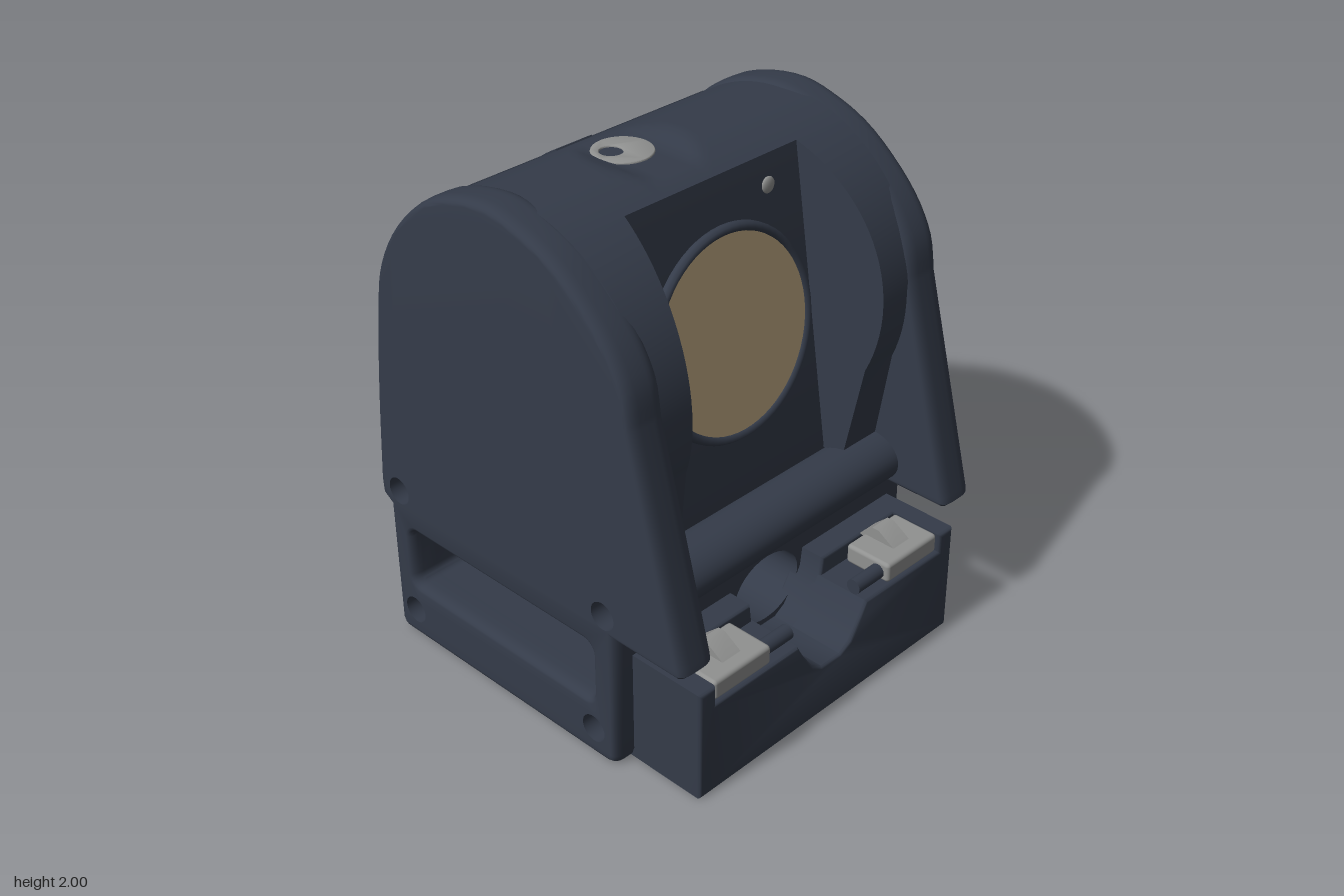
import * as THREE from 'three';
import { toCreasedNormals } from 'three/addons/utils/BufferGeometryUtils.js';
import { RoundedBoxGeometry } from 'three/addons/geometries/RoundedBoxGeometry.js';

const material = (name, color) => {
  const m = new THREE.MeshStandardMaterial({ color });
  m.name = name;
  return m;
};
const SIDES = [-1, 1];
const BORE = 0.055;
const DRUM = { z: -0.08, y: 1.36, r: 0.63 };
const faceZ = (y) => 0.36 - 0.155 * (y - 0.76); // sloping front face

// Points are [z, y] for side profiles and [x, y] for front profiles; outlines run counter-clockwise.
function shapeOf(pts, flip) {
  const v = pts.map(([a, b]) => new THREE.Vector2(flip ? -a : a, b));
  return new THREE.Shape(THREE.ShapeUtils.isClockWise(v) ? v.reverse() : v);
}
const side = (pts) => shapeOf(pts, true);
const front = (pts) => shapeOf(pts, false);

function ellipseHole(shape, x, y, rx, ry = rx) {
  const pts = Array.from({ length: 32 }, (_, i) => {
    const t = -i / 32 * Math.PI * 2;
    return new THREE.Vector2(x + rx * Math.cos(t), y + ry * Math.sin(t));
  });
  shape.holes.push(new THREE.Path(pts));
}

// Rounded rectangular pocket in the base sides
function pocketHole(shape, inset) {
  const [x0, x1, y0, y1] = [-0.36 + inset, 0.64 - inset, 0.23 + inset, 0.5 - inset];
  const r = 0.05 - inset;
  const pts = [];
  for (const [cx, cy, t0] of [[x1 - r, y1 - r, 0], [x0 + r, y1 - r, 1], [x0 + r, y0 + r, 2], [x1 - r, y0 + r, 3]]) {
    for (let i = 0; i <= 5; i++) {
      const t = (t0 + i / 5) * Math.PI / 2;
      pts.push(new THREE.Vector2(cx + r * Math.cos(t), cy + r * Math.sin(t)));
    }
  }
  shape.holes.push(new THREE.Path(pts.reverse()));
}

function extrude(shape, length, bevel, steps = 1, round = bevel) {
  return new THREE.ExtrudeGeometry(shape, {
    depth: length - 2 * round, steps, curveSegments: 16,
    bevelEnabled: bevel > 0, bevelSize: bevel, bevelThickness: round, bevelOffset: -bevel, bevelSegments: 5,
  }).translate(0, 0, round);
}
const extrudeX = (shape, x0, x1, bevel = 0, steps = 1, round = bevel) =>
  extrude(shape, x1 - x0, bevel, steps, round).rotateY(Math.PI / 2).translate(x0, 0, 0);
const extrudeZ = (shape, z0, z1, bevel = 0) => extrude(shape, z1 - z0, bevel).translate(0, 0, z0);

function moveVertices(geo, rule) {
  const p = geo.attributes.position;
  const v = new THREE.Vector3();
  for (let i = 0; i < p.count; i++) {
    rule(v.fromBufferAttribute(p, i));
    p.setXYZ(i, v.x, v.y, v.z);
  }
  return geo;
}

// Points along the drum circle
function arc(t0, t1, r = DRUM.r, n = 24) {
  return Array.from({ length: n + 1 }, (_, i) => {
    const t = t0 + (t1 - t0) * i / n;
    return [DRUM.z + r * Math.cos(t), DRUM.y + r * Math.sin(t)];
  });
}

export function createModel() {
  const dark = material('dark slate', 0x343b49);
  const tan = material('tan', 0xb09c78);
  const grey = material('grey metal', 0x909190);
  const model = new THREE.Group();
  const body = new THREE.Group();
  body.name = 'body';
  body.position.x = -0.085; // the housing is symmetric about its own middle
  model.add(body);
  const add = (name, geo, mat, parent = body) => {
    const mesh = new THREE.Mesh(geo, mat);
    mesh.name = name;
    parent.add(mesh);
    return mesh;
  };
  const crease = (geo) => toCreasedNormals(geo, 0.55);

  // Side plates: arched top, foot, four bolt bores and a long pocket
  const bores = [[0.41, 0.645], [-0.67, 0.645], [0.35, 0.12], [-0.63, 0.12]];
  const crown = new THREE.SplineCurve([
    [0.56, 1.43], [0.53, 1.58], [0.43, 1.735], [0.25, 1.89], [0.07, 1.97], [-0.12, 2], [-0.36, 1.94],
    [-0.55, 1.79], [-0.67, 1.6], [-0.715, 1.4], [-0.755, 1.05], [-0.785, 0.66],
  ].map(([z, y]) => new THREE.Vector2(z, y))).getPoints(48).map((p) => [p.x, p.y]);
  const bevel = 0.026;
  for (const s of SIDES) {
    const shape = side([
      [0.765, 0.56], [0.78, 0.575], [0.775, 0.605], ...crown, [-0.78, 0.59], [-0.735, 0.56],
      [-0.73, 0.04], [-0.715, 0.01], [-0.69, 0], [0.42, 0], [0.45, 0.01], [0.46, 0.04], [0.46, 0.56],
    ]);
    for (const [z, y] of bores) ellipseHole(shape, -z, y, BORE - bevel);
    pocketHole(shape, bevel / 2);
    const ends = s < 0 ? [-0.775, -0.615] : [0.615, 0.775];
    const geo = extrudeX(shape, ...ends, bevel, 1, 0.05);
    // keep the bores straight
    moveVertices(geo, (v) => {
      for (const [z, y] of bores) {
        const d = Math.hypot(v.z - z, v.y - y);
        if (d < 0.06) {
          v.z = z + (v.z - z) * BORE / d;
          v.y = y + (v.y - y) * BORE / d;
          break;
        }
      }
    });
    add('sidePlate', crease(geo), dark);
  }

  // Drum core with the sloping face and a shallow dip across the top
  const coreShape = side([[0.33, 0.56], [0.36, 0.76], ...arc(1.143, Math.PI, DRUM.r, 32), [-0.735, 0.9], [-0.74, 0.56]]);
  ellipseHole(coreShape, 0.67, 0.645, BORE);
  const core = moveVertices(extrudeX(coreShape, -0.66, 0.66, 0, 40), (v) => {
    const rise = THREE.MathUtils.clamp((Math.abs(v.x + 0.095) - 0.1) / 0.12, 0, 1);
    v.y = Math.min(v.y, 1.958 + 0.04 * rise);
  });
  add('drum', crease(core), dark);

  // Flared shoulders on both sides of the face
  for (const s of SIDES) {
    const shape = side([[0.34, 0.75], [0.44, 0.75], ...arc(-0.4, 1.143), [0.17, 1.92]]);
    const geo = s < 0 ? extrudeX(shape, -0.66, -0.415) : extrudeX(shape, 0.415, 0.66);
    moveVertices(geo, (v) => {
      if (Math.abs(v.x) < 0.42) v.x += s * 0.24 * (v.z - faceZ(v.y));
    });
    add('shoulder', crease(geo), dark);
  }

  // Raised rear panel with its tab
  const panel = (t0, t1, x0, x1) =>
    crease(extrudeX(side([...arc(t0, t1, DRUM.r + 0.006), ...arc(t1, t0, DRUM.r - 0.01)]), x0, x1));
  add('rearPanel', panel(2.218, 3.08, -0.625, 0.625), dark);
  add('rearPanelTab', panel(2.067, 2.23, -0.195, -0.025), dark);

  // Round screen on the sloping face
  const dial = new THREE.Group();
  dial.name = 'screen';
  dial.position.set(0, 1.365, faceZ(1.365));
  dial.rotation.x = -Math.atan(0.155);
  body.add(dial);
  const rim = [[0.4, -0.01], [0.398, 0.015], [0.39, 0.028], [0.375, 0.03], [0.365, 0.02], [0.365, -0.01]];
  const rimGeo = new THREE.LatheGeometry(rim.map(([r, h]) => new THREE.Vector2(r, h)), 64).rotateX(Math.PI / 2);
  add('screenRim', rimGeo, dark, dial);
  add('screenDisc', new THREE.CircleGeometry(0.37, 64).translate(0, 0, 0.02), tan, dial);
  const stud = add('stud', new THREE.SphereGeometry(0.033, 20, 12), grey);
  stud.position.set(0.255, 1.82, faceZ(1.82));
  stud.scale.z = 0.4;

  // Washer on top with an off-centre bore
  const washer = new THREE.Shape().absarc(0, 0, 0.112, 0, Math.PI * 2);
  ellipseHole(washer, -0.035, 0.02, 0.042);
  const washerGeo = crease(extrude(washer, 0.03, 0.006).rotateX(-Math.PI / 2));
  add('topWasher', washerGeo, grey).position.set(-0.105, 1.935, -0.145);

  // Rolled hinge bar below the face
  const barShape = new THREE.Shape().absellipse(-0.435, 0.662, 0.125, 0.1, 0, Math.PI * 2);
  ellipseHole(barShape, -0.41, 0.645, BORE);
  add('hingeBar', crease(extrudeX(barShape, -0.66, 0.66)), dark);

  // Base: lower slab with bolt bores, middle block with the front-to-back tunnel, pocket walls at the sides
  const slab = side([[0.46, 0.03], [0.46, 0.225], [-0.73, 0.225], [-0.73, 0.03], [-0.7, 0], [0.43, 0]]);
  ellipseHole(slab, -0.35, 0.12, BORE);
  ellipseHole(slab, 0.63, 0.12, BORE);
  add('baseSlab', crease(extrudeX(slab, -0.67, 0.67)), dark);
  for (const [z0, z1, cy, ry] of [[-0.5, 0.46, 0.375, 0.14], [-0.73, -0.5, 0.392, 0.122]]) {
    const middle = front([[-0.47, 0.215], [0.47, 0.215], [0.47, 0.57], [-0.47, 0.57]]);
    ellipseHole(middle, 0, cy, 0.17, ry);
    add('baseMiddle', crease(extrudeZ(middle, z0, z1)), dark);
  }
  for (const x of [-0.67, 0.465]) {
    const wall = side([[0.46, 0.22], [0.46, 0.57], [-0.73, 0.57], [-0.73, 0.22]]);
    pocketHole(wall, bevel / 2);
    add('pocketWall', crease(extrudeX(wall, x, x + 0.205)), dark);
  }

  // Front block with a V-shaped notch; its front half is stepped for the hinges
  const half = (stepped) => [
    [0.685, 0], [0.685, 0.455],
    ...(stepped ? [[0.605, 0.455], [0.605, 0.38]] : [[0.195, 0.455]]),
    [0.185, 0.38], [0.155, 0.325], [0.1, 0.245], [0.05, 0.215],
  ];
  const block = (stepped) => {
    const right = half(stepped);
    return front([...right, ...right.map(([x, y]) => [-x, y]).reverse()]);
  };
  add('frontBlockRear', crease(extrudeZ(block(false), 0.42, 0.56, 0.012)), dark);
  add('frontBlock', crease(extrudeZ(block(true), 0.5, 0.782, 0.015)), dark);

  // Hinge clips on the front block
  for (const s of SIDES) {
    const clip = new THREE.Group();
    clip.name = 'hingeClip';
    clip.position.x = s * 0.46;
    body.add(clip);
    add('clipPlate', new RoundedBoxGeometry(0.285, 0.08, 0.2, 3, 0.015).translate(0, 0.42, 0.67), grey, clip);
    const ridge = side([[0.55, 0.45], [0.73, 0.45], [0.64, 0.505], [0.61, 0.505]]);
    add('clipRidge', crease(extrudeX(ridge, -0.045, 0.045)), grey, clip);
    const pin = new THREE.CylinderGeometry(0.03, 0.03, 0.16, 16).rotateZ(Math.PI / 2);
    add('clipPin', pin.translate(s * -0.2, 0.415, 0.72), dark, clip);
  }

  // Metal bracket deep inside the tunnel
  const bracket = front([[-0.07, 0.21], [0.07, 0.21], [0.125, 0.25], [0.085, 0.395], [-0.085, 0.395], [-0.125, 0.25]]);
  bracket.holes.push(new THREE.Path([[-0.075, 0.375], [0.075, 0.375], [0.04, 0.27], [-0.04, 0.27]]
    .map(([x, y]) => new THREE.Vector2(x, y))));
  add('tunnelBracket', crease(extrudeZ(bracket, -0.06, 0.06)), grey);

  // Side knob: two rounded bars with a groove between them
  for (const z of [0.027, -0.093]) {
    const bar = moveVertices(new RoundedBoxGeometry(0.22, 0.9, 0.128, 4, 0.035), (v) => {
      const taper = 1 - 0.9 * Math.max(0, v.x);
      v.z = (v.z + z + 0.033) * taper - 0.033;
    });
    bar.computeVertexNormals();
    add('sideKnob', toCreasedNormals(bar, 0.7), dark).position.set(0.825, 1.34, 0);
  }
  return model;
}
